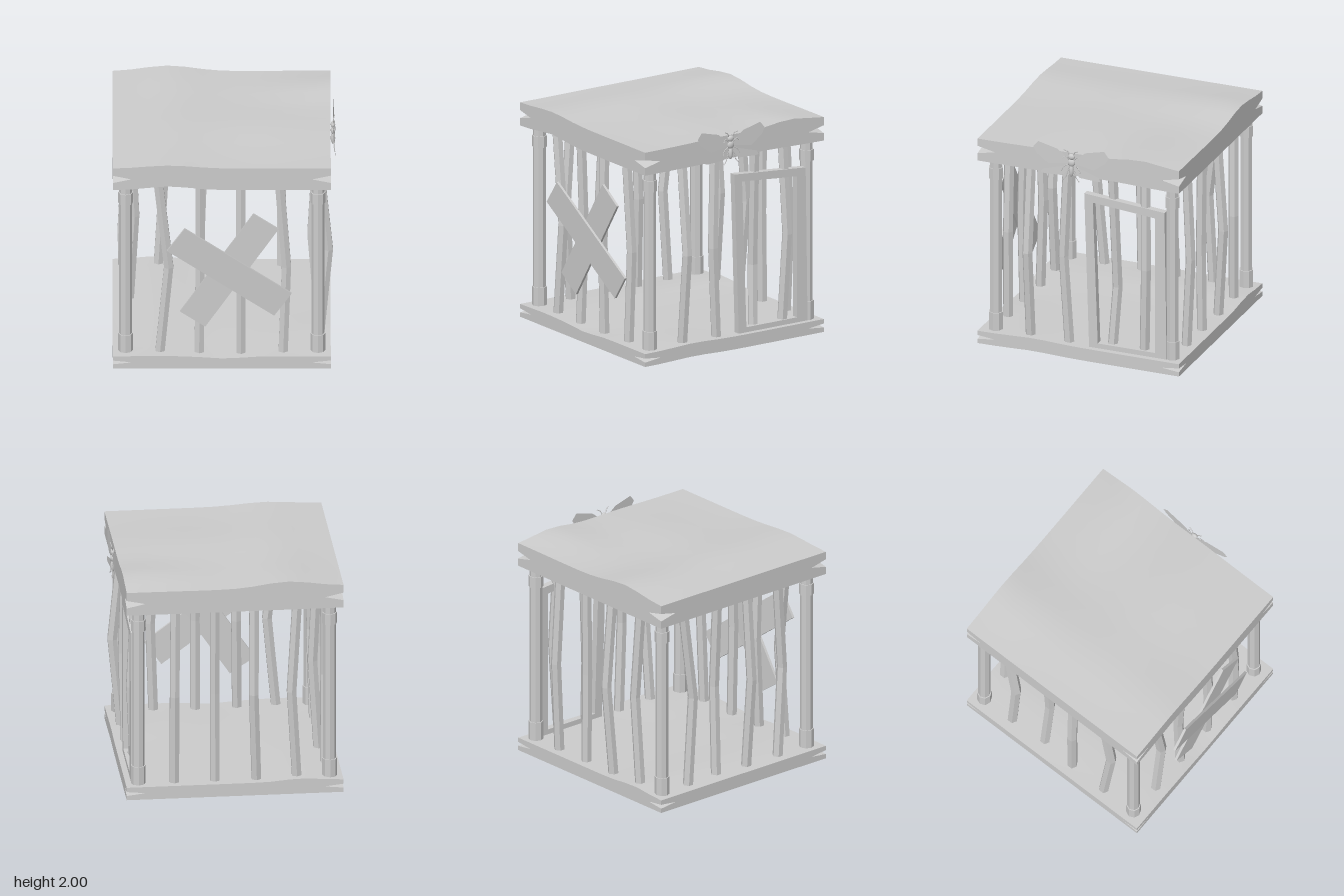
import * as THREE from 'three';
import { toCreasedNormals } from 'three/addons/utils/BufferGeometryUtils.js';

const smooth = new THREE.MeshStandardMaterial({ color: 0xcccccc, side: THREE.DoubleSide });
const flat = new THREE.MeshStandardMaterial({ color: 0xcccccc, flatShading: true, side: THREE.DoubleSide });
const SIZE = 1.87, HALF = SIZE / 2, CX = -0.025, CZ = -0.02;
const bump = (t, centre, width) => Math.exp(-(((t - centre) / width) ** 2));

export function createModel() {
  const root = new THREE.Group();
  const add = (name, geo, mat = flat, parent = root) => {
    const mesh = new THREE.Mesh(geo, mat);
    mesh.name = name;
    parent.add(mesh);
    return mesh;
  };

  // Rough wooden slab with wavy faces and a wedge-shaped crack at each corner
  function slab(name, y0, y1, gap, topWave, bottomWave, openBelow) {
    const h = y1 - y0, geo = new THREE.BoxGeometry(SIZE, h, SIZE, 12, 4, 12);
    if (openBelow) {
      const below = geo.groups[3], index = Array.from(geo.index.array);
      index.splice(below.start, below.count);
      geo.setIndex(index);
    }
    geo.clearGroups();
    const p = geo.attributes.position;
    for (let i = 0; i < p.count; i++) {
      let x = p.getX(i), z = p.getZ(i);
      const row = Math.round((p.getY(i) / h) * 4);
      const corner = Math.abs(x) > HALF - 0.01 && Math.abs(z) > HALF - 0.01;
      let y = (y0 + y1) / 2 + Math.sign(row) * (corner ? gap : 0.002);
      if (row === 2) y = y1 + topWave(x + CX, z + CZ);
      if (row === -2) y = y0 + bottomWave(x + CX, z + CZ);
      if (row === 0 && corner) {
        x -= Math.sign(x) * 0.09;
        z -= Math.sign(z) * 0.09;
      }
      p.setXYZ(i, x + CX, y, z + CZ);
    }
    add(name, toCreasedNormals(geo, 0.5), smooth);
  }
  slab('base', 0, 0.115, 0.018,
    (x, z) => 0.025 * bump(x, -0.6, 0.2) * bump(z, -0.9, 1.5) - 0.02 * bump(x, 0, 0.2) * bump(z, 0.9, 0.3) + 0.015 * bump(z, 0.4, 0.25) * bump(x, 0.9, 0.4),
    (x, z) => 0.012 * bump(z, 0.4, 0.25) * bump(x, 0.9, 0.2), true);
  slab('roof', 1.71, 1.915, 0.035,
    (x, z) => 0.03 * bump(x, -0.48, 0.3) + 0.025 * bump(x, -0.48, 0.3) * bump(z, -0.9, 0.5)
      + 0.045 * bump(z, -0.6, 0.25) * bump(x, 0.9, 0.6) + 0.025 * bump(z, 0.1, 0.4) * bump(x, 0.3, 0.7),
    (x, z) => 0.035 * bump(x, -0.48, 0.25) * bump(z, 0.9, 0.3) + 0.015 * bump(z, -0.3, 0.4) * bump(x, 0.9, 0.3), false);

  // Corner posts with collars at both ends
  for (const x of [-0.85, 0.8]) for (const z of [-0.85, 0.79]) {
    const post = new THREE.Group();
    post.name = 'cornerPost';
    post.position.set(x, 0, z);
    root.add(post);
    for (const [name, r, y0, y1] of [['shaft', 0.055, 0.07, 1.72], ['lowerCollar', 0.064, 0.07, 0.28], ['upperCollar', 0.064, 1.53, 1.63]])
      add(name, new THREE.CylinderGeometry(r, r, y1 - y0, 8, 1, name === 'shaft'), flat, post)
        .position.y = (y0 + y1) / 2;
  }

  // Six-sided bar bent at one kink; points are [x, z] at bottom, kink, top
  function bar(name, bottom, kink, top, kinkY = 0.92) {
    const geo = new THREE.CylinderGeometry(0.046, 0.046, 2, 6, 2), p = geo.attributes.position;
    const rows = [[0.06, bottom], [kinkY, kink], [1.73, top]];
    for (let i = 0; i < p.count; i++) {
      const [y, c] = rows[Math.round(p.getY(i)) + 1];
      p.setXYZ(i, p.getX(i) + c[0], y, p.getZ(i) + c[1]);
    }
    add(name, geo);
  }
  bar('frontBar', [-0.56, 0.8], [-0.48, 0.8], [-0.57, 0.8]);
  bar('frontBar', [-0.22, 0.8], [-0.21, 0.77], [-0.21, 0.8]);
  bar('frontBar', [0.14, 0.8], [0.14, 0.82], [0.14, 0.8]);
  bar('frontBar', [0.5, 0.8], [0.53, 0.79], [0.47, 0.8]);
  bar('backBar', [-0.57, -0.85], [-0.52, -0.87], [-0.57, -0.85]);
  bar('backBar', [-0.22, -0.85], [-0.19, -0.91], [-0.2, -0.85]);
  bar('backBar', [0.14, -0.85], [0.14, -0.84], [0.14, -0.85]);
  bar('backBar', [0.49, -0.85], [0.49, -0.89], [0.48, -0.85]);
  bar('rightBar', [-0.85, 0.46], [-0.83, 0.53], [-0.85, 0.46]);
  bar('rightBar', [-0.84, 0.11], [-0.88, 0.14], [-0.84, 0.12]);
  bar('rightBar', [-0.82, -0.21], [-0.77, -0.19], [-0.81, -0.19]);
  bar('rightBar', [-0.84, -0.55], [-0.85, -0.5], [-0.84, -0.6]);
  bar('leftBar', [0.81, 0.46], [0.89, 0.46], [0.81, 0.46]);
  bar('leftBar', [0.81, 0.1], [0.83, 0.15], [0.81, 0.12]);
  bar('leftBar', [0.8, -0.29], [0.75, -0.32], [0.81, -0.3], 0.68);
  bar('leftBar', [0.8, -0.59], [0.84, -0.62], [0.8, -0.6]);

  // Crooked door frame on the left side, drawn as (-z, y) and extruded along x
  const toPoints = (list) => list.map(([a, b]) => new THREE.Vector2(a, b));
  const frame = new THREE.Shape(toPoints([[0.1, 0.115], [0.82, 0.115], [0.8, 1.485], [0.055, 1.545]]));
  frame.holes.push(new THREE.Path(toPoints([[0.18, 0.16], [0.135, 1.47], [0.71, 1.42], [0.71, 0.16]])));
  const door = add('doorFrame', new THREE.ExtrudeGeometry(frame, { depth: 0.06, bevelEnabled: false }));
  door.rotation.y = Math.PI / 2;
  door.position.x = 0.8;

  // Two planks nailed across the front
  function plank(z, angle, tilt) {
    const mesh = add('crossPlank', new THREE.BoxGeometry(1.13, 0.26, 0.022));
    mesh.position.set(0.04, 0.928, z);
    mesh.rotation.set(0, tilt, angle, 'ZYX');
  }
  plank(0.882, 0.98, -0.01);
  plank(0.918, -0.619, 0.062);

  // Winged insect resting on the left edge of the roof
  const insect = new THREE.Group();
  insect.name = 'insect';
  insect.position.set(0.93, 1.85, 0.035);
  root.add(insect);
  for (const [name, y, ry, rz] of [['head', 0.05, 0.028, 0.032], ['thorax', -0.005, 0.036, 0.034], ['abdomen', -0.08, 0.055, 0.02]]) {
    const part = add(name, new THREE.SphereGeometry(1, 12, 8), smooth, insect);
    part.scale.set(0.02, ry, rz);
    part.position.y = y;
  }
  const upper = [[0.02, -0.01], [0.21, -0.04], [0.32, 0.04], [0.35, 0.095], [0.307, 0.15], [0.13, 0.105], [0.03, 0.03]];
  const lower = [[0.02, -0.03], [0.26, -0.095], [0.28, -0.13], [0.24, -0.135], [0.08, -0.13], [0.03, -0.07]];
  for (const side of [1, -1]) {
    for (const [name, outline, lift] of [['upperWing', upper, 0.04], ['lowerWing', lower, 0.06]]) {
      const geo = new THREE.ShapeGeometry(new THREE.Shape(toPoints(outline))), p = geo.attributes.position;
      for (let i = 0; i < p.count; i++) {
        const z = p.getX(i), y = p.getY(i);
        p.setXYZ(i, lift * z - 0.04 * y, y, side * z);
      }
      geo.computeVertexNormals();
      add(name, geo, flat, insect);
    }
    // Feelers and legs
    const limbs = [['antenna', [0.02, 0.07], [0.035, 0.1], [0.065, 0.115]],
      ['leg', [0.02, 0.02], [0.06, 0.05], [0.08, 0.03]],
      ['leg', [0.02, -0.02], [0.07, -0.05], [0.09, -0.09]],
      ['leg', [0.02, -0.04], [0.05, -0.14], [0.08, -0.17]]];
    for (const [name, ...path] of limbs) {
      const curve = new THREE.CatmullRomCurve3(path.map(([z, y], i) => new THREE.Vector3(0.008 * i, y, side * z)));
      add(name, new THREE.TubeGeometry(curve, 6, 0.004, 5), smooth, insect);
    }
  }
  return root;
}
